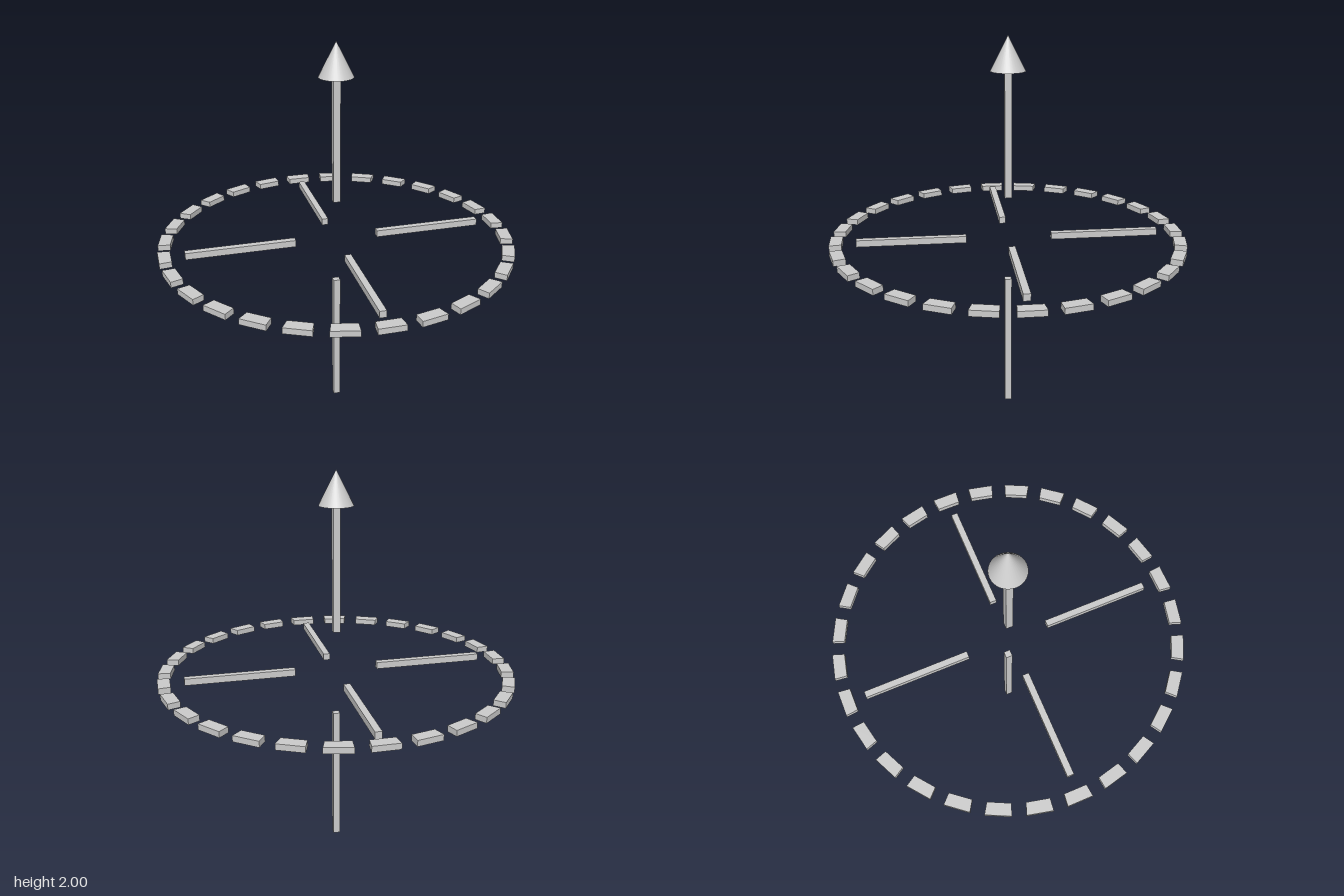
import * as THREE from 'three';

const material = new THREE.MeshStandardMaterial({ color: 0xcccccc });

export function createModel() {
  const model = new THREE.Group();
  model.name = 'axisGizmo';

  const add = (name, geometry, x, y, z) => {
    const mesh = new THREE.Mesh(geometry, material);
    mesh.name = name;
    mesh.position.set(x, y, z);
    model.add(mesh);
    return mesh;
  };

  // Square bar between two corners
  const bar = (name, [x0, y0, z0], [x1, y1, z1]) =>
    add(name, new THREE.BoxGeometry(x1 - x0, y1 - y0, z1 - z0),
      (x0 + x1) / 2, (y0 + y1) / 2, (z0 + z1) / 2);

  // Vertical axis in two lengths, topped by an arrowhead
  const h = 0.018;
  bar('lowerAxis', [-h, 0, -h], [h, 0.733, h]);
  bar('upperAxis', [-h, 1.185, -h], [h, 1.835, h]);
  add('arrowhead', new THREE.ConeGeometry(0.087, 0.172, 32), 0, 1.914, 0);

  // Four horizontal spokes; the side pair sits slightly higher
  bar('leftSpoke', [0.217, 0.964, -0.012], [0.781, 0.999, 0.023]);
  bar('rightSpoke', [-0.783, 0.964, -0.012], [-0.219, 0.999, 0.023]);
  bar('frontSpoke', [-0.017, 0.95, 0.218], [0.017, 0.985, 0.782]);
  bar('backSpoke', [-0.017, 0.95, -0.79], [0.017, 0.985, -0.226]);

  // Dashed ring: flat-sided wedges, wider on the outside
  const inner = 0.851, outer = 0.914, count = 28;
  const wedge = new THREE.Shape([
    new THREE.Vector2(-0.06, inner), new THREE.Vector2(0.06, inner),
    new THREE.Vector2(0.067, outer), new THREE.Vector2(-0.067, outer),
  ]);
  const dash = new THREE.ExtrudeGeometry(wedge, { depth: 0.03, bevelEnabled: false });
  dash.rotateX(-Math.PI / 2);
  for (let i = 0; i < count; i++) {
    add('ringDash' + (i + 1), dash, 0, 0.952, 0).rotation.y = (i / count) * Math.PI * 2;
  }

  return model;
}
